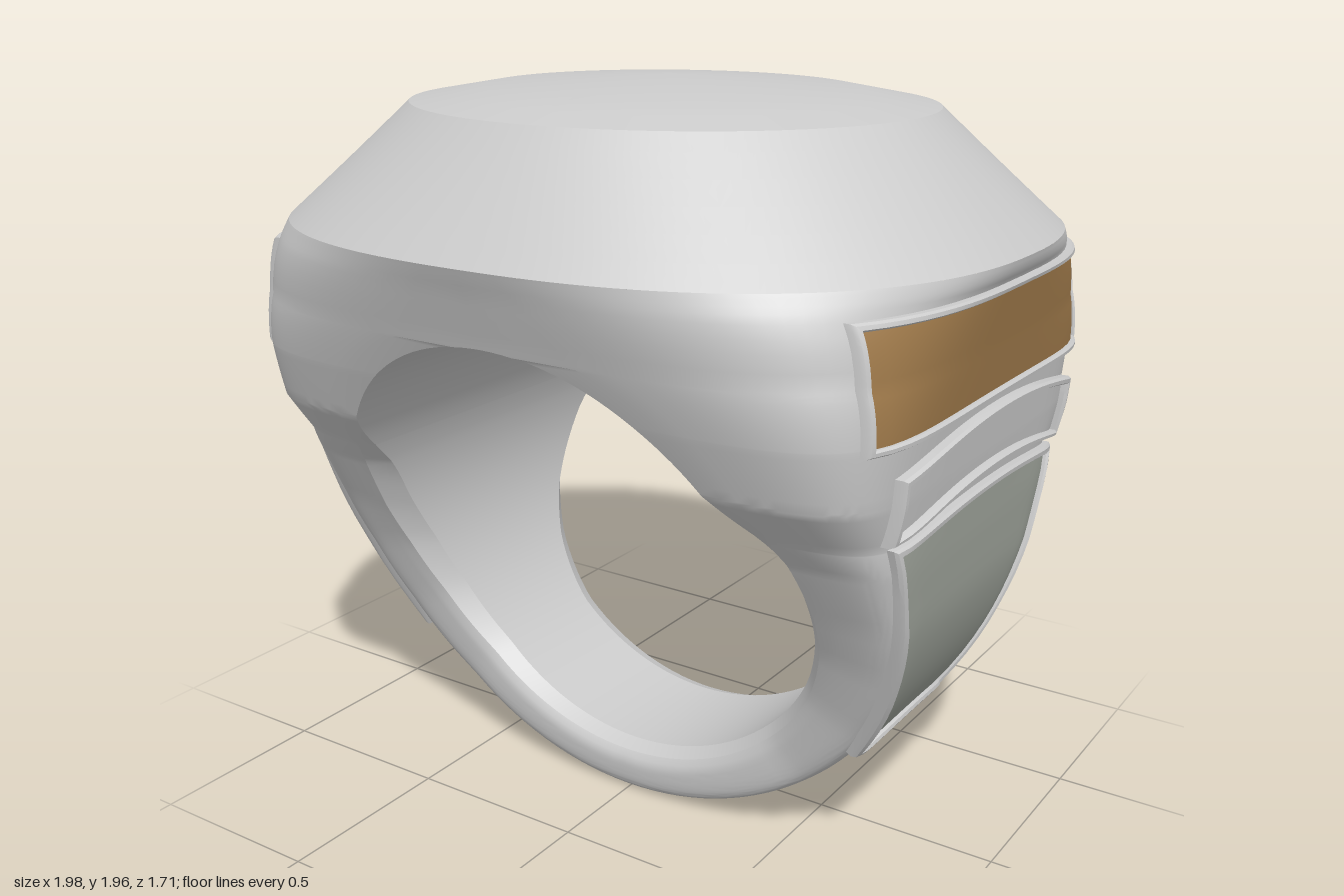
import * as THREE from 'three';
import { mergeGeometries, toCreasedNormals } from 'three/addons/utils/BufferGeometryUtils.js';

const HOLE_Y = 0.77, HOLE_R = 0.63, SHANK_R = 0.9;
const mix = THREE.MathUtils.lerp;

// Cross-sections by height: y, half width, half depth, squareness
const SECTIONS = [
  [0, 0.89, 0.24, 16], [0.2, 0.89, 0.242, 16], [0.4, 0.89, 0.285, 16], [0.6, 0.89, 0.35, 16],
  [0.77, 0.89, 0.42, 15], [0.93, 0.9, 0.51, 12], [1.0, 0.9, 0.565, 9], [1.12, 0.915, 0.67, 7.5],
  [1.27, 0.93, 0.73, 6], [1.4, 0.945, 0.778, 4.2], [1.54, 0.965, 0.83, 3], [1.575, 0.985, 0.845, 2.6],
  [1.6, 0.99, 0.855, 2.4], [1.89, 0.7, 0.62, 2], [1.925, 0.5, 0.45, 2], [1.955, 0, 0, 2],
];

// Section at height y: horizontal above the hole centre, fanning around it below
function section(y) {
  let i = 0;
  while (i < SECTIONS.length - 2 && y > SECTIONS[i + 1][0]) i++;
  const a = SECTIONS[i], b = SECTIONS[i + 1];
  const f = (y - a[0]) / (b[0] - a[0]);
  const [w, d, n] = [1, 2, 3].map((c) => mix(a[c], b[c], f));
  const low = y < HOLE_Y;
  const ox = low ? Math.sqrt(Math.max(0, SHANK_R ** 2 - (y - SHANK_R) ** 2)) : w;
  const cy = low ? HOLE_Y : y;
  const len = Math.hypot(ox, y - cy);
  const inner = low ? HOLE_R : Math.sqrt(Math.max(0, HOLE_R ** 2 - (y - HOLE_Y) ** 2));
  return { y, ox, cy, d, n, len, k0: len > 0 ? Math.min(1, inner / len) : 0 };
}

// One half section, running from the front, around the outside, to the back
function halfLoop(y, side, steps = 26) {
  const s = section(y);
  const t0 = Math.acos(Math.min(1, s.k0 ** (s.n / 2)));
  const fillet = mix(0.06, 0.004, THREE.MathUtils.smoothstep(y, 0.85, 1.1));
  const row = [];
  for (let j = -steps; j <= steps; j++) {
    const t = t0 * Math.abs(j) / steps;
    const k = Math.abs(j) === steps ? s.k0 : Math.max(0, Math.cos(t)) ** (2 / s.n);
    let z = s.d * Math.sin(t) ** (2 / s.n);
    const e = (k - s.k0) * s.len;
    if (y < 1.39 && e < fillet) z -= fillet - Math.sqrt(Math.max(0, fillet ** 2 - (fillet - e) ** 2));
    row.push([side * k * s.ox, s.cy + k * (s.y - s.cy), -Math.sign(j) * z]);
  }
  return row;
}

// Surface through rows of points
function grid(rows, flip) {
  const cols = rows[0].length, index = [];
  for (let i = 0; i < rows.length - 1; i++) {
    for (let j = 0; j < cols - 1; j++) {
      const a = i * cols + j, b = a + 1, c = b + cols, d = a + cols;
      if (flip) index.push(a, c, b, a, d, c);
      else index.push(a, b, c, a, c, d);
    }
  }
  const g = new THREE.BufferGeometry();
  g.setAttribute('position', new THREE.Float32BufferAttribute(rows.flat(2), 3));
  g.setIndex(index);
  return g;
}

function addMesh(parent, name, geometries, color = 0xcccccc, crease = 0.5) {
  const material = new THREE.MeshStandardMaterial({ color });
  const mesh = new THREE.Mesh(toCreasedNormals(mergeGeometries(geometries), crease), material);
  mesh.name = name;
  parent.add(mesh);
}

// Point on the ring's flank at height y and depth z, raised by lift
function flankPoint(y, z, lift, side) {
  const s = section(y);
  const k = Math.max(0, 1 - Math.min(1, Math.abs(z) / s.d) ** s.n) ** (1 / s.n) + lift / s.len;
  return [side * k * s.ox, s.cy + k * (s.y - s.cy), z];
}

// Framed panel wrapped onto the flank
function addPanel(parent, p, side) {
  const N = 24, M = 14, group = new THREE.Group();
  group.name = p.name + (side > 0 ? 'Left' : 'Right');
  const at = (a, b, inset, lift) => {
    const v = mix(inset / (p.y1 - p.y0), 1 - inset / (p.y1 - p.y0), b);
    const half = mix(p.z0, p.z1, v) - inset;
    return flankPoint(mix(p.y0, p.y1, v) + p.bow * (1 - a * a), -a * half, lift, side);
  };
  const loop = (inset, lift) => {
    const pts = [];
    for (let i = 0; i < N; i++) pts.push(at(-1 + 2 * i / N, 0, inset, lift));
    for (let i = 0; i < M; i++) pts.push(at(1, i / M, inset, lift));
    for (let i = 0; i < N; i++) pts.push(at(1 - 2 * i / N, 1, inset, lift));
    for (let i = 0; i <= M; i++) pts.push(at(-1, 1 - i / M, inset, lift));
    return pts;
  };
  const f = p.frame;
  const rim = [loop(0, -0.02), loop(0, p.lift * 0.7), loop(f * 0.25, p.lift),
    loop(f * 0.75, p.lift), loop(f, p.lift * 0.7), loop(f, -0.01)];
  addMesh(group, 'panelFrame', [grid(rim, side < 0)]);
  const rows = [];
  for (let i = 0; i <= M; i++) {
    rows.push(Array.from({ length: N + 1 }, (_, j) => at(-1 + 2 * j / N, i / M, f * 0.9, 0.008)));
  }
  addMesh(group, 'panelInlay', [grid(rows, side < 0)], p.color);
  parent.add(group);
}

export function createModel() {
  const ring = new THREE.Group();
  ring.name = 'signetRing';

  // Heights of the sections: shank, sides of the hole, head
  const ys = [0.93, 1.0, 1.12, 1.27, 1.44, 1.48, 1.51, 1.54, 1.56, 1.575, 1.59, 1.6];
  const phi = Math.asin((HOLE_Y - SHANK_R) / SHANK_R);
  for (let i = 0; i < 30; i++) ys.push(SHANK_R + SHANK_R * Math.sin(mix(-Math.PI / 2, phi, i / 30)));
  for (let i = 0; i <= 34; i++) ys.push(HOLE_Y + HOLE_R * Math.sin(Math.PI / 2 * i / 34));
  ys.sort((a, b) => a - b);

  // Bezel and slightly domed top
  const bezelYs = [1.6, 1.65, 1.7, 1.75, 1.8, 1.85, 1.89, 1.91, 1.925, 1.94, 1.955];

  const body = [], lining = [], bezel = [];
  for (const side of [1, -1]) {
    const rows = ys.map((y) => halfLoop(y, side));
    body.push(grid(rows, side < 0));
    const bore = rows.filter((_, i) => ys[i] <= HOLE_Y + HOLE_R + 1e-6);
    lining.push(grid(bore.map((r) => [r[r.length - 1], r[0]]), side < 0));
    bezel.push(grid(bezelYs.map((y) => halfLoop(y, side, 32)), side < 0));
  }
  addMesh(ring, 'bandAndHead', body);
  addMesh(ring, 'bore', lining);
  addMesh(ring, 'bezel', bezel, 0xcccccc, 0.4);

  // Side panels
  const panels = [
    { name: 'upperPanel', y0: 1.255, y1: 1.54, z0: 0.6, z1: 0.6, bow: 0.008, frame: 0.018, lift: 0.022, color: 0xa27c4c },
    { name: 'middlePanel', y0: 1.02, y1: 1.185, z0: 0.49, z1: 0.495, bow: 0.055, frame: 0.018, lift: 0.03, color: 0xcccccc },
    { name: 'lowerPanel', y0: 0.335, y1: 1.005, z0: 0.245, z1: 0.465, bow: 0.03, frame: 0.022, lift: 0.024, color: 0xa0a59c },
  ];
  for (const side of [1, -1]) for (const p of panels) addPanel(ring, p, side);
  return ring;
}
